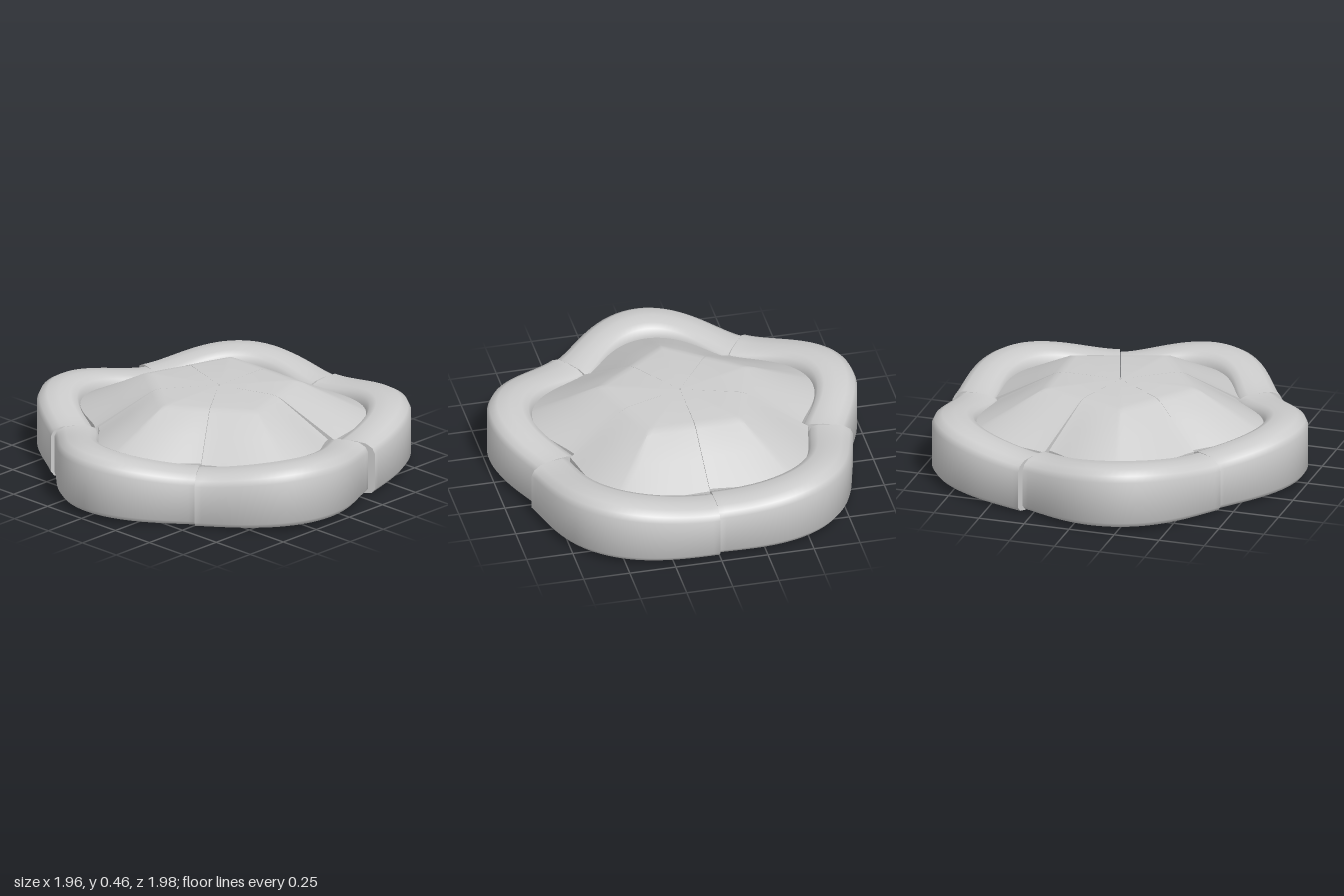
import * as THREE from 'three';
import { toCreasedNormals } from 'three/addons/utils/BufferGeometryUtils.js';

const STEP = Math.PI * 2 / 5;
const COLS = 32;
const CENTRE_X = 0.04;

// Outer radius where each segment starts and ends; neighbours meet with a small step
const SEAMS = [[0.93, 0.917], [0.879, 0.9], [0.882, 0.882], [0.9, 0.879], [0.917, 0.908]];

// Rim cross-section: inset from the outer edge, and height from 0 to 1
const RIM = [
  [0.06, 0], [0.018, 0.03], [0, 0.11], [0, 0.82], [0.015, 0.92], [0.055, 0.99], [0.12, 1],
  [0.185, 0.98], [0.22, 0.93], [0.238, 0.8], [0.24, 0.16], [0.22, 0.04], [0.19, 0],
];

const lerp = THREE.MathUtils.lerp;
const bump = t => Math.pow(Math.max(0, Math.sin(Math.PI * t)), 1.8);

function outerRadius(k, t) {
  const seam = lerp(SEAMS[k][0], SEAMS[k][1], t);
  return lerp(seam, 1.022, bump(t));
}

// Closed loop of [radius, height] for the wavy rim
function rimSection(k, t) {
  const R = outerRadius(k, t), b = bump(t);
  const base = lerp(0.002, 0.022, b), height = lerp(0.285, 0.324, b);
  return RIM.map(([d, v]) => [R - d, base + height * v]);
}

// Closed loop for a wedge of the flat-topped, five-sided dome
function domeSection(k, t) {
  const fromSeam = Math.min(t, 1 - t) * STEP;
  const edge = 0.34 / Math.cos(fromSeam);
  const rim = outerRadius(k, t) - 0.237;
  const foot = lerp(0.27, 0.275, bump(t));
  const slope = f => [lerp(edge, rim, f), lerp(0.466, foot, f)];
  return [
    [0.006, 0.04], [rim, 0.04], [rim, foot], slope(0.5), slope(0.08),
    [edge, 0.461], [edge - 0.03, 0.466], [0.006, 0.466],
  ];
}

// Sweep a section around one fifth of a turn and cap both ends
function sweep(section, k, gap, crease) {
  const pos = [], index = [];
  const n = section(k, 0).length;
  const put = (r, y, a) => pos.push(r * Math.cos(a), y, r * Math.sin(a));
  const angle = t => k * STEP + gap + t * (STEP - 2 * gap);
  for (let i = 0; i <= COLS; i++) {
    const t = i / COLS;
    section(k, t).forEach(([r, y]) => put(r, y, angle(t)));
  }
  for (let i = 0; i < COLS; i++) {
    for (let j = 0; j < n; j++) {
      const a = i * n + j, b = i * n + (j + 1) % n;
      index.push(a, b, a + n, b, b + n, a + n);
    }
  }
  for (const t of [0, 1]) {
    const loop = section(k, t), mid = pos.length / 3, first = t * COLS * n;
    put(loop.reduce((s, p) => s + p[0], 0) / n, loop.reduce((s, p) => s + p[1], 0) / n, angle(t));
    for (let j = 0; j < n; j++) {
      const a = first + j, b = first + (j + 1) % n;
      if (t) index.push(mid, a, b);
      else index.push(mid, b, a);
    }
  }
  const geo = new THREE.BufferGeometry();
  geo.setAttribute('position', new THREE.Float32BufferAttribute(pos, 3));
  geo.setIndex(index);
  return toCreasedNormals(geo, crease);
}

export function createModel() {
  const stone = new THREE.MeshStandardMaterial({ color: 0xcccccc });
  stone.name = 'light grey';

  const model = new THREE.Group();
  model.name = 'fiveLobedPad';

  // Five segments, each a rim piece and a dome wedge
  for (let k = 0; k < 5; k++) {
    const segment = new THREE.Group();
    segment.name = `segment${k + 1}`;
    const rim = new THREE.Mesh(sweep(rimSection, k, 0.001, 0.85), stone);
    rim.name = 'rimPiece';
    const dome = new THREE.Mesh(sweep(domeSection, k, 0.003, 0.5), stone);
    dome.name = 'domeWedge';
    segment.add(rim, dome);
    segment.position.x = CENTRE_X;
    model.add(segment);
  }
  return model;
}
